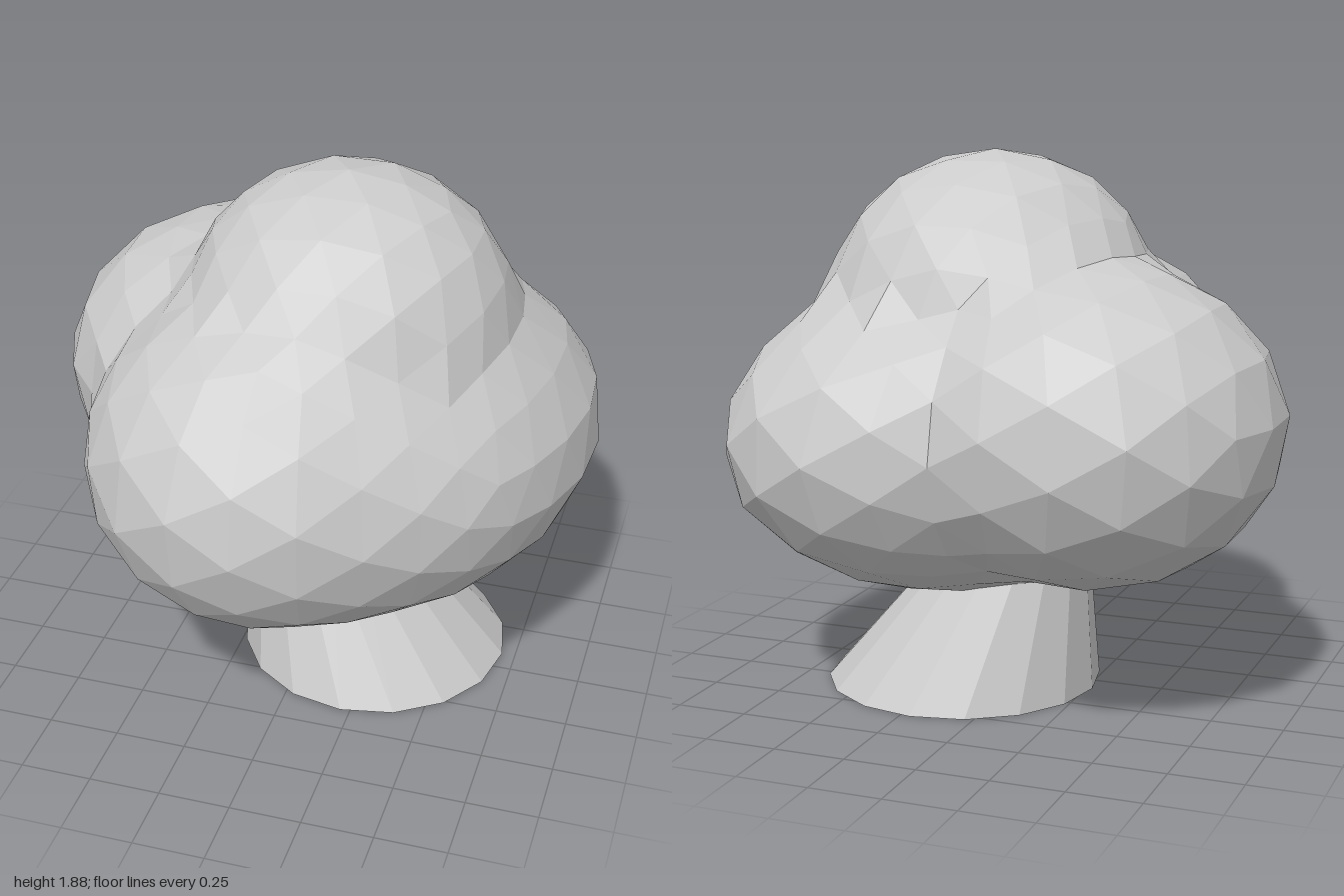
import * as THREE from 'three';

const material = new THREE.MeshStandardMaterial({ color: 0xcccccc, flatShading: true });

// Ellipsoidal clumps of leaves: centre, radii, yaw, roll
const clumps = [
  { at: [0.14, 0.94, -0.02], radii: [0.76, 0.59, 0.98], yaw: -0.574, roll: -0.1 }, // main
  { at: [-0.08, 0.98, 0.32], radii: [0.59, 0.56, 0.62], yaw: 0, roll: 0 }, // front
  { at: [-0.35, 1.0, -0.3], radii: [0.64, 0.54, 0.66], yaw: 0, roll: 0 }, // side
  { at: [0.115, 1.38, -0.05], radii: [0.56, 0.5, 0.58], yaw: 0, roll: -0.1 } // top
];

// Matrix taking the world into a clump's unit-sphere space
function toUnitSphere({ at, radii, yaw, roll }) {
  const turn = new THREE.Quaternion().setFromEuler(new THREE.Euler(0, yaw, roll, 'ZYX'));
  return new THREE.Matrix4()
    .compose(new THREE.Vector3(...at), turn, new THREE.Vector3(...radii))
    .invert();
}

// Faceted ball pushed outward to the softly blended hull of all clumps
function foliage() {
  const core = new THREE.Vector3(0, 1.05, -0.05);
  const inverses = clumps.map(toUnitSphere);
  const blend = 22;
  const geometry = new THREE.IcosahedronGeometry(1, 4);
  const p = geometry.attributes.position;
  const dir = new THREE.Vector3();
  for (let i = 0; i < p.count; i++) {
    dir.fromBufferAttribute(p, i).normalize();
    let sum = 0;
    for (const inverse of inverses) {
      // Distance from the core to where the ray leaves this clump
      const o = core.clone().applyMatrix4(inverse);
      const d = core.clone().add(dir).applyMatrix4(inverse).sub(o);
      const a = d.dot(d), b = o.dot(d), c = o.dot(o) - 1;
      sum += ((-b + Math.sqrt(b * b - a * c)) / a) ** blend;
    }
    dir.multiplyScalar(sum ** (1 / blend)).add(core);
    p.setXYZ(i, dir.x, dir.y, dir.z);
  }
  geometry.computeVertexNormals();
  const mesh = new THREE.Mesh(geometry, material);
  mesh.name = 'foliage';
  return mesh;
}

// Flared trunk, leaning by a shear of x with height
function trunk() {
  const geometry = new THREE.CylinderGeometry(0.255, 0.487, 0.5, 16);
  geometry.translate(0.215, 0.25, -0.085);
  const p = geometry.attributes.position;
  for (let i = 0; i < p.count; i++) p.setX(i, p.getX(i) - 0.41 * p.getY(i));
  geometry.computeVertexNormals();
  const mesh = new THREE.Mesh(geometry, material);
  mesh.name = 'trunk';
  return mesh;
}

export function createModel() {
  const tree = new THREE.Group();
  tree.name = 'tree';
  tree.add(trunk(), foliage());
  return tree;
}
